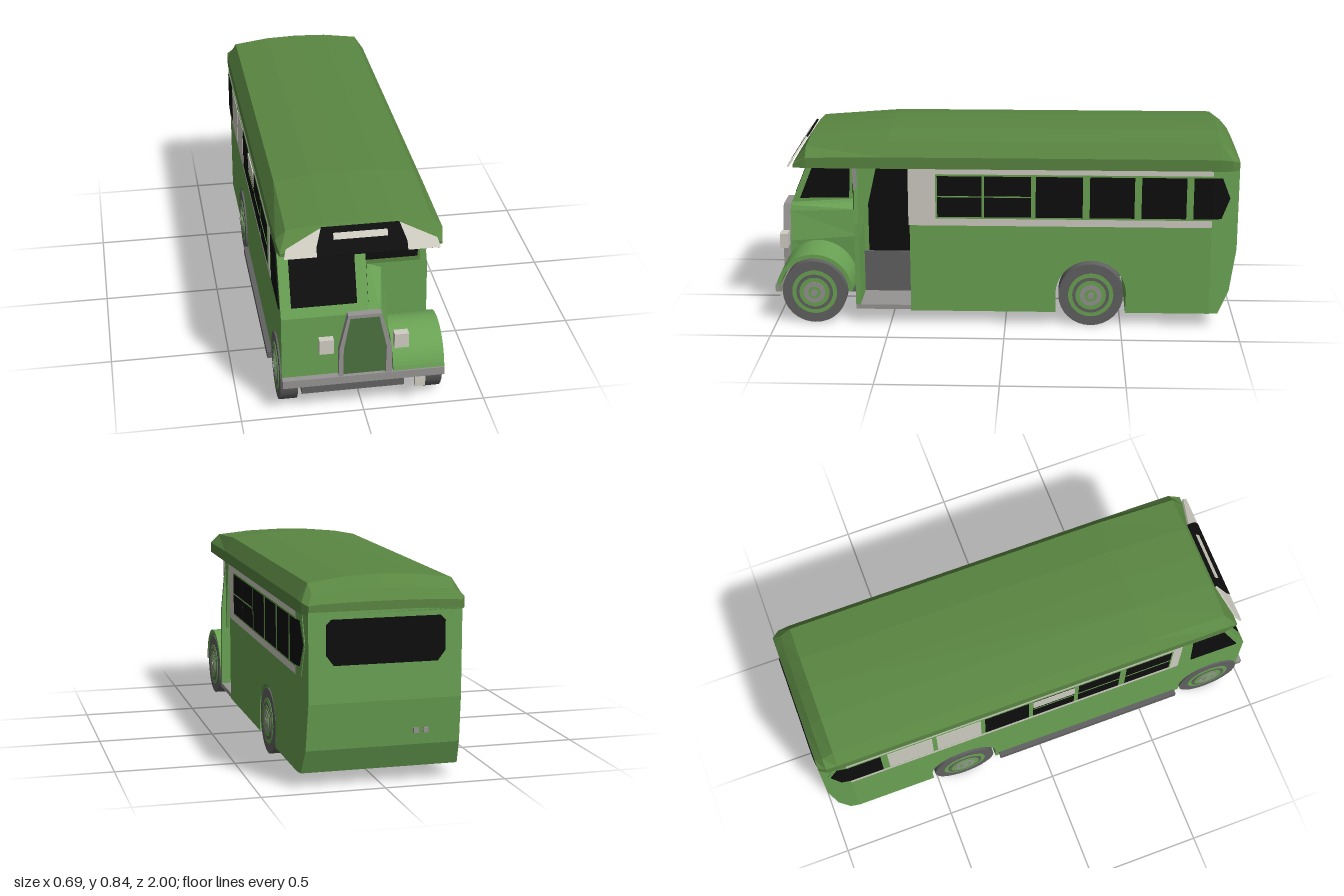
import * as THREE from 'three';

const mat = (name, color) => {
  const m = new THREE.MeshStandardMaterial({ color });
  m.name = name;
  return m;
};

export function createModel() {
  const bus = new THREE.Group();
  bus.name = 'halfCabBus';
  const green = mat('bodyGreen', 0x6aa354);
  const roofGreen = mat('roofGreen', 0x5a8742);
  const grilleGreen = mat('grilleGreen', 0x4c7340);
  const cream = mat('cream', 0xd0cec3);
  const black = mat('glassBlack', 0x0e0e0e);
  const tyreGrey = mat('tyreGrey', 0x626262);
  const metal = mat('metalGrey', 0x979593);
  const under = mat('underbodyGrey', 0x4c4c4c);

  const add = (name, geo, material, parent = bus) => {
    const m = new THREE.Mesh(geo, material);
    m.name = name;
    parent.add(m);
    return m;
  };
  // Box given by its limits
  const box = (name, material, x0, x1, y0, y1, z0, z1, parent) => {
    const g = new THREE.BoxGeometry(x1 - x0, y1 - y0, z1 - z0);
    g.translate((x0 + x1) / 2, (y0 + y1) / 2, (z0 + z1) / 2);
    return add(name, g, material, parent);
  };
  const poly = (pts) => new THREE.Shape(pts.map((p) => new THREE.Vector2(p[0], p[1])));
  const extrude = (shape, depth) =>
    new THREE.ExtrudeGeometry(shape, { depth, bevelEnabled: false, curveSegments: 16 });
  // Side profile in (z, y), extruded across x0..x1
  const across = (shape, x0, x1) => extrude(shape, x1 - x0).rotateY(-Math.PI / 2).translate(x1, 0, 0);
  // Front outline in (x, y), extruded across z0..z1
  const along = (shape, z0, z1) => extrude(shape, z1 - z0).translate(0, 0, z0);

  // Skin loft through closed rings of points, with flat end caps
  const loft = (rings) => {
    const pos = [];
    const n = rings[0].length;
    const tri = (a, b, c) => pos.push(...a, ...b, ...c);
    for (let r = 0; r < rings.length - 1; r++) {
      for (let i = 0; i < n; i++) {
        const j = (i + 1) % n;
        const [a, b, c, d] = [rings[r][i], rings[r][j], rings[r + 1][j], rings[r + 1][i]];
        tri(a, b, c);
        tri(a, c, d);
      }
    }
    const first = rings[0], last = rings[rings.length - 1];
    for (let i = 1; i < n - 1; i++) {
      tri(first[0], first[i + 1], first[i]);
      tri(last[0], last[i], last[i + 1]);
    }
    const g = new THREE.BufferGeometry();
    g.setAttribute('position', new THREE.Float32BufferAttribute(pos, 3));
    g.computeVertexNormals();
    return g;
  };

  // Passenger saloon with rear wheel arches
  const saloon = poly([[0.41, 0.06], [0.41, 0.71], [-0.88, 0.71], [-0.88, 0.06], [-0.52, 0.06]]);
  saloon.absarc(-0.37, 0.145, 0.152, Math.PI, 0, true);
  saloon.lineTo(-0.218, 0.06);
  add('saloon', across(saloon, -0.33, 0.33), green);
  box('rearWheelBay', tyreGrey, -0.25, 0.25, 0.2, 0.296, -0.5, -0.24);

  // Tail, drawn in towards the rear
  const tailX = (z) => 1 - 0.06 * Math.max(0, (-z - 0.88) / 0.112);
  const taper = (geo) => {
    const p = geo.attributes.position;
    for (let i = 0; i < p.count; i++) p.setX(i, p.getX(i) * tailX(p.getZ(i)));
    geo.computeVertexNormals();
    return geo;
  };
  add('tail', taper(across(poly([[-0.88, 0.06], [-0.88, 0.71], [-0.992, 0.71], [-0.992, 0.35],
    [-0.965, 0.16], [-0.92, 0.06]]), -0.33, 0.33)), green);
  add('rearWindow', along(poly([[-0.24, 0.54], [-0.21, 0.5], [0.21, 0.5], [0.24, 0.54], [0.24, 0.66],
    [0.22, 0.68], [-0.22, 0.68], [-0.24, 0.66]]), -0.998, -0.991), black);
  for (const x of [-0.17, -0.13]) box('rearLamp', metal, x - 0.01, x + 0.01, 0.21, 0.23, -0.985, -0.968);

  // Entrance: inner wall, riser, step, and rear partition
  box('offsideSection', green, -0.33, 0.135, 0.06, 0.71, 0.41, 0.65);
  box('doorwayInterior', black, 0.135, 0.14, 0.27, 0.71, 0.41, 0.61);
  box('stepRiser', tyreGrey, 0.135, 0.15, 0.08, 0.27, 0.41, 0.65);
  box('entranceStep', metal, 0.135, 0.33, 0.065, 0.085, 0.41, 0.65);
  box('partitionUpperGlass', black, 0.16, 0.29, 0.49, 0.67, 0.409, 0.414);
  box('partitionLowerGlass', black, 0.16, 0.29, 0.27, 0.43, 0.409, 0.414);
  box('partitionRail', cream, 0.15, 0.33, 0.45, 0.47, 0.409, 0.414);
  box('partitionPost', cream, 0.305, 0.33, 0.45, 0.71, 0.409, 0.415);

  // Front bulkhead with window and raked door post
  add('bulkhead', along(poly([[0.02, 0.08], [0.33, 0.08], [0.325, 0.45], [0.3, 0.71], [0.02, 0.71]]), 0.63, 0.65), green);
  box('bulkheadFrame', roofGreen, 0.028, 0.293, 0.478, 0.682, 0.65, 0.653);
  box('bulkheadWindow', black, 0.037, 0.282, 0.5, 0.67, 0.65, 0.657);
  add('doorPost', across(poly([[0.65, 0.27], [0.65, 0.71], [0.55, 0.71]]), 0.29, 0.305), green);
  add('doorPostTrim', across(poly([[0.648, 0.54], [0.655, 0.7], [0.635, 0.7], [0.638, 0.54]]), 0.305, 0.31), metal);

  // Driver's cab beside the engine
  const cab = poly([[0.65, 0.08], [0.65, 0.71], [0.86, 0.71], [0.97, 0.45], [0.97, 0.15]]);
  cab.absarc(0.83, 0.145, 0.14, 0, Math.PI, false);
  cab.lineTo(0.69, 0.08);
  add('cab', across(cab, -0.33, -0.1), green);
  add('cabInner', across(poly([[0.65, 0.15], [0.65, 0.71], [0.86, 0.71], [0.97, 0.45], [0.97, 0.15]]), -0.1, 0.02), green);
  const cabGlass = poly([[0.71, 0.48], [0.7, 0.685], [0.845, 0.685], [0.93, 0.475]]);
  add('cabLeftWindow', across(cabGlass, 0.02, 0.025), black);
  add('cabRightWindow', across(cabGlass, -0.335, -0.33), black);
  const screen = new THREE.Group();
  screen.name = 'windscreen';
  screen.position.set(0, 0.45, 0.97);
  screen.rotation.x = -0.4;
  bus.add(screen);
  box('windscreenGlass', black, -0.287, -0.025, 0.043, 0.272, -0.002, 0.004, screen);

  // Bonnet, radiator and grille
  const ring = (pts, z) => pts.map(([x, y]) => [x, y, z]);
  add('bonnet', loft([
    ring([[-0.1, 0.15], [0.15, 0.15], [0.15, 0.34], [0.13, 0.455], [0.08, 0.475], [-0.07, 0.475], [-0.1, 0.34]], 0.65),
    ring([[-0.1, 0.15], [0.113, 0.15], [0.107, 0.3], [0.075, 0.43], [0.065, 0.455], [-0.065, 0.455], [-0.1, 0.3]], 0.97),
  ]), green);
  const radiator = poly([[-0.102, 0.17], [0.114, 0.17], [0.111, 0.3], [0.067, 0.46], [-0.067, 0.46], [-0.102, 0.3]]);
  radiator.holes.push(poly([[-0.084, 0.172], [-0.084, 0.3], [-0.058, 0.445], [0.058, 0.445], [0.09, 0.3], [0.088, 0.172]]));
  add('radiatorSurround', along(radiator, 0.965, 0.997), metal);
  add('grille', along(poly([[-0.085, 0.171], [0.089, 0.171], [0.091, 0.3], [0.059, 0.446], [-0.059, 0.446], [-0.085, 0.3]]), 0.97, 0.985), grilleGreen);

  // Nearside front wing
  const wing = new THREE.Shape();
  wing.absarc(0.83, 0.145, 0.166, 0, Math.PI, false);
  wing.absarc(0.83, 0.145, 0.148, Math.PI, 0, true);
  add('frontWing', across(wing, 0.12, 0.33), green);

  // Bumper, lamps, plate and chassis
  box('bumper', metal, -0.33, 0.33, 0.14, 0.175, 0.972, 1);
  for (const x of [-0.153, 0.15]) box('headlamp', cream, x - 0.029, x + 0.029, 0.29, 0.354, 0.965, 1);
  box('numberPlate', cream, 0.21, 0.253, 0.09, 0.14, 0.98, 0.995);
  box('frontChassis', tyreGrey, -0.25, 0.17, 0.086, 0.14, 0.65, 0.97);
  box('floorPan', under, -0.3, 0.3, 0.056, 0.065, -0.215, 0.65);
  box('sideRail', tyreGrey, -0.352, -0.33, 0.065, 0.095, -0.2, 0.67);

  // Roof, from rear to front: z, width scale, eaves, shoulder and crown heights
  const stations = [
    [-0.992, 0.93, 0.735, 0.74, 0.745], [-0.96, 0.99, 0.745, 0.775, 0.79], [-0.91, 1, 0.75, 0.812, 0.838],
    [0.5, 1, 0.75, 0.812, 0.836], [0.85, 1, 0.745, 0.785, 0.803], [0.905, 0.97, 0.712, 0.716, 0.72],
  ];
  add('roof', loft(stations.map(([z, s, e, h, c]) => ring([
    [-0.333 * s, 0.7], [0.333 * s, 0.7], [0.333 * s, e], [0.292 * s, h], [0.14 * s, h + (c - h) * 0.8],
    [0, c], [-0.14 * s, h + (c - h) * 0.8], [-0.292 * s, h], [-0.333 * s, e]], z))), roofGreen);

  // Sloping destination board under the roof front
  const board = new THREE.Group();
  board.name = 'destinationBoard';
  board.position.set(0, 0.7, 0.93);
  board.rotation.x = -0.6;
  bus.add(board);
  add('blindSurround', along(poly([[-0.18, 0], [0.18, 0], [0.18, 0.036], [0.155, 0.115], [-0.155, 0.115], [-0.18, 0.036]]), -0.005, 0.004), black, board);
  box('blind', cream, -0.11, 0.105, 0.062, 0.089, 0.002, 0.008, board);
  for (const s of [-1, 1]) {
    const pts = [[s * 0.18, 0], [s * 0.31, 0], [s * 0.3, 0.04], [s * 0.155, 0.113], [s * 0.18, 0.036]];
    add('boardFlank', along(poly(pts), -0.005, 0.003), cream, board);
  }

  // Window bands; each pane is [zFront, zRear, kind]
  const sidePlate = (name, material, s, lift, z0, z1, y0, y1) => {
    const a = 0.329, b = 0.33 + lift;
    return box(name, material, s > 0 ? a : -b, s > 0 ? b : -a, y0, y1, z1, z0);
  };
  const bands = [
    [1, 0.41, [[0.29, 0.1], [0.09, -0.11], [-0.13, -0.33], [-0.36, -0.55], [-0.58, -0.77]], -0.8, 2, []],
    [-1, 0.65, [[0.6, 0.39], [0.36, 0.17], [0.15, -0.04], [-0.06, -0.26], [-0.28, -0.48], [-0.5, -0.7]], -0.73, 3, [4, 5]],
  ];
  for (const [s, front, panes, tailStart, divided, blanked] of bands) {
    sidePlate('creamBand', cream, s, 0.002, front, -0.88, 0.45, 0.71);
    sidePlate('windowFrame', green, s, 0.004, panes[0][0] + 0.008, -0.88, 0.482, 0.678);
    panes.forEach(([z0, z1], i) => {
      sidePlate('sidePane', blanked.includes(i) ? cream : black, s, 0.006, z0, z1, 0.49, 0.67);
      if (i < divided) sidePlate('paneBar', green, s, 0.008, z0, z1, 0.578, 0.583);
    });
    if (s < 0) sidePlate('blankedTop', cream, s, 0.0085, panes[2][0], panes[2][1], 0.6, 0.67);
    sidePlate('rearSidePane', black, s, 0.006, tailStart, -0.88, 0.49, 0.67);
    const tip = poly([[-0.88, 0.49], [-0.88, 0.67], [-0.92, 0.67], [-0.955, 0.58], [-0.92, 0.49]]);
    const edge = poly([[-0.88, 0.45], [-0.88, 0.71], [-0.94, 0.71], [-0.94, 0.69], [-0.965, 0.58], [-0.93, 0.45]]);
    const span = (d) => (s > 0 ? [0.329, 0.33 + d] : [-0.33 - d, -0.329]);
    add('rearCornerFrame', taper(across(edge, ...span(0.003))), green);
    add('rearCornerPane', taper(across(tip, ...span(0.006))), black);
  }

  // Wheels: tyre with stepped rings and hub; radius, half width, material
  const rings = [[0.14, 0.036, tyreGrey, 'tyre'], [0.098, 0.038, green, 'rim'], [0.08, 0.04, tyreGrey, 'rimRecess'],
    [0.066, 0.042, green, 'disc'], [0.047, 0.044, metal, 'hubRing'], [0.027, 0.046, green, 'hub'], [0.015, 0.049, metal, 'hubCap']];
  for (const [z, label] of [[0.83, 'front'], [-0.37, 'rear']]) {
    for (const s of [-1, 1]) {
      const wheel = new THREE.Group();
      wheel.name = label + (s > 0 ? 'LeftWheel' : 'RightWheel');
      wheel.position.set(s > 0 ? 0.292 : -0.3, 0.14, z);
      bus.add(wheel);
      for (const [r, w, m, name] of rings) {
        add(name, new THREE.CylinderGeometry(r, r, w * 2, 32).rotateZ(Math.PI / 2), m, wheel);
      }
    }
    add(label + 'Axle', new THREE.CylinderGeometry(0.02, 0.02, 0.54, 10).rotateZ(Math.PI / 2).translate(0, 0.14, z), under);
  }
  return bus;
}
